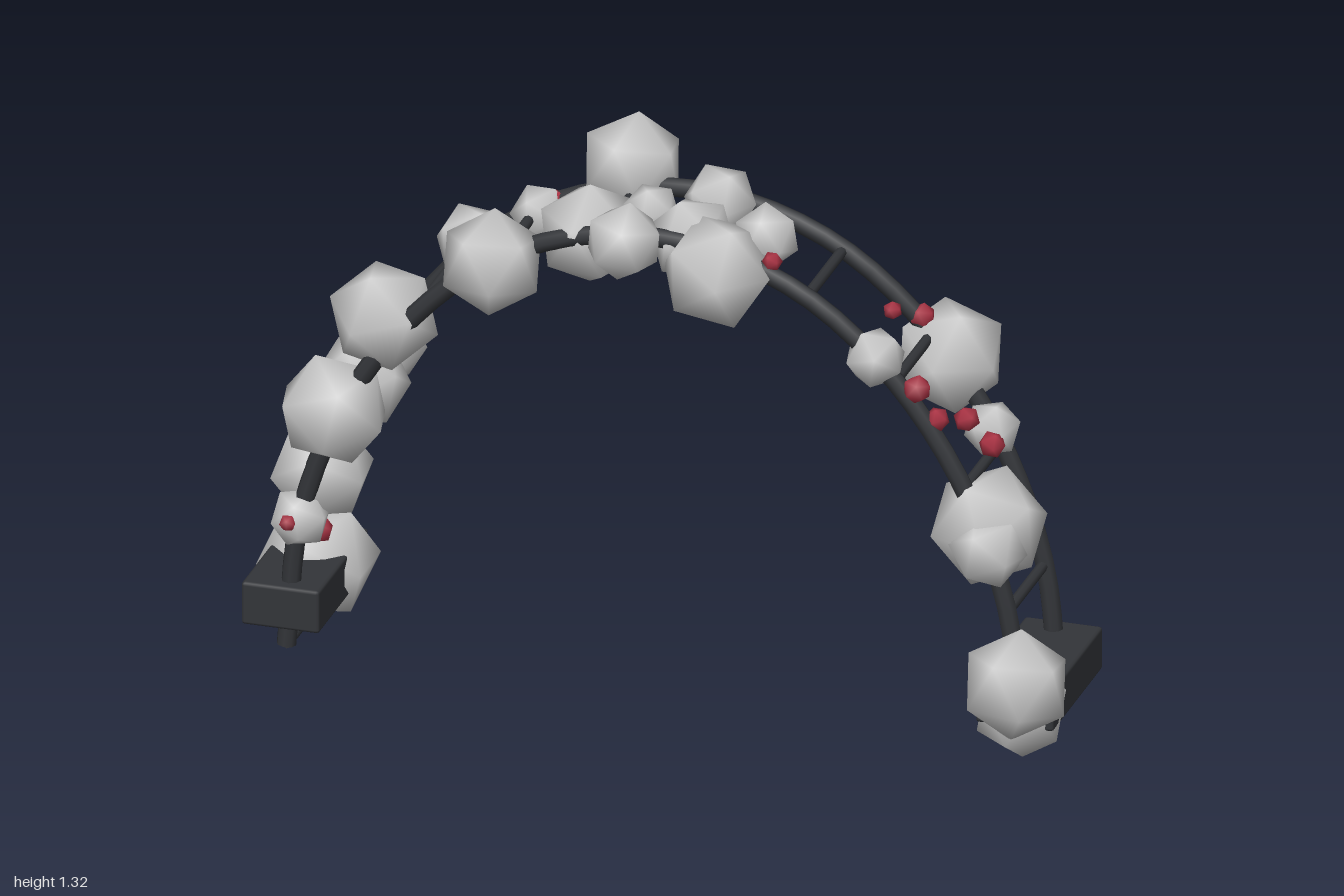
import * as THREE from 'three';
import { mergeVertices } from 'three/addons/utils/BufferGeometryUtils.js';
import { RoundedBoxGeometry } from 'three/addons/geometries/RoundedBoxGeometry.js';

const FRONT_Z = 0.12, BACK_Z = -0.155;

export function createModel() {
  const group = new THREE.Group();
  const frameMat = new THREE.MeshStandardMaterial({ color: 0x333539 });
  const leafMat = new THREE.MeshStandardMaterial({ color: 0xcccccc });
  const flowerMat = new THREE.MeshStandardMaterial({ color: 0xaa3344 });

  const add = (name, geometry, material, x = 0, y = 0, z = 0) => {
    const mesh = new THREE.Mesh(geometry, material);
    mesh.name = name;
    mesh.position.set(x, y, z);
    group.add(mesh);
    return mesh;
  };

  // Arch outline, mirrored about x = 0; a rung sits at every point
  const half = [[0.872, 0.042], [0.84, 0.36], [0.737, 0.65], [0.573, 0.895], [0.363, 1.075], [0.123, 1.163]];
  const outline = [...half.map(([x, y]) => [-x, y]), ...half.slice().reverse()];
  const curve = new THREE.CatmullRomCurve3(outline.map(([x, y]) => new THREE.Vector3(x, y, 0)));

  // Two arched rails with closed feet
  for (const [name, z] of [['frontRail', FRONT_Z], ['backRail', BACK_Z]]) {
    add(name, new THREE.TubeGeometry(curve, 48, 0.023, 8), frameMat, 0, 0, z);
    for (const side of [-1, 1]) {
      add(name + 'Foot', new THREE.CircleGeometry(0.023, 8), frameMat, side * 0.872, 0.042, z).rotation.x = Math.PI / 2;
    }
  }

  // Rungs joining the rails
  const rung = new THREE.CylinderGeometry(0.013, 0.013, FRONT_Z - BACK_Z, 8);
  for (const [x, y] of outline) {
    add('rung', rung, frameMat, x, y, (FRONT_Z + BACK_Z) / 2).rotation.x = Math.PI / 2;
  }

  // Base blocks
  for (const side of [-1, 1]) {
    add('baseBlock', new RoundedBoxGeometry(0.185, 0.105, 0.37, 1, 0.008), frameMat, side * 0.872, 0.15, -0.015);
  }

  // Twenty-sided clump with smooth normals
  let clump = new THREE.IcosahedronGeometry(1, 0);
  clump.deleteAttribute('normal');
  clump.deleteAttribute('uv');
  clump = mergeVertices(clump);
  clump.computeVertexNormals();

  const scatter = (name, material, list, grow) => list.forEach(([x, y, z, r], i) => {
    const mesh = add(name, clump, material, x, y, z);
    mesh.scale.setScalar(r * grow);
    mesh.rotation.set(i * 1.7, i * 2.3, i * 0.9);
  });

  // Foliage clumps: x, y, z, radius
  scatter('foliage', leafMat, [
    [-0.87, 0.155, -0.11, 0.14], [-0.84, 0.36, 0.12, 0.07],
    [-0.82, 0.44, 0.02, 0.12], [-0.76, 0.64, 0.12, 0.13],
    [-0.74, 0.65, -0.03, 0.11], [-0.72, 0.68, -0.165, 0.085],
    [-0.66, 0.86, 0.06, 0.125], [-0.53, 0.96, -0.185, 0.085],
    [-0.37, 1.08, 0.165, 0.12], [-0.35, 1.07, -0.14, 0.07],
    [-0.18, 1.12, 0.03, 0.12], [-0.15, 1.2, -0.19, 0.12],
    [-0.06, 1.17, 0.155, 0.09], [-0.05, 1.17, -0.02, 0.065],
    [0.07, 1.15, 0.05, 0.1], [0.1, 1.2, -0.06, 0.085],
    [0.15, 1.11, 0.12, 0.13], [0.24, 1.17, 0.03, 0.075],
    [0.525, 0.945, 0.115, 0.07], [0.605, 0.83, -0.19, 0.13],
    [0.73, 0.7, -0.11, 0.065], [0.78, 0.545, 0.07, 0.135],
    [0.8, 0.52, 0.14, 0.09], [0.87, 0.115, 0.11, 0.11],
    [0.88, 0.21, 0.18, 0.125],
  ], 1.04);

  // Small red flowers: x, y, z, radius
  scatter('flower', flowerMat, [
    [-0.87, 0.025, -0.08, 0.02], [-0.84, 0.27, -0.02, 0.033],
    [-0.85, 0.37, 0.18, 0.02], [-0.83, 0.46, -0.185, 0.033],
    [-0.69, 0.755, -0.165, 0.027], [-0.41, 1.0, -0.015, 0.031],
    [-0.37, 1.06, -0.19, 0.022], [-0.32, 1.1, -0.15, 0.03],
    [-0.07, 1.11, -0.09, 0.026], [0.28, 1.15, 0.115, 0.023],
    [0.5, 0.97, -0.09, 0.022], [0.55, 0.935, -0.155, 0.03],
    [0.63, 0.89, 0.135, 0.033], [0.67, 0.81, 0.11, 0.028],
    [0.7, 0.76, -0.015, 0.03], [0.75, 0.69, -0.048, 0.031],
  ], 1.04);

  return group;
}
